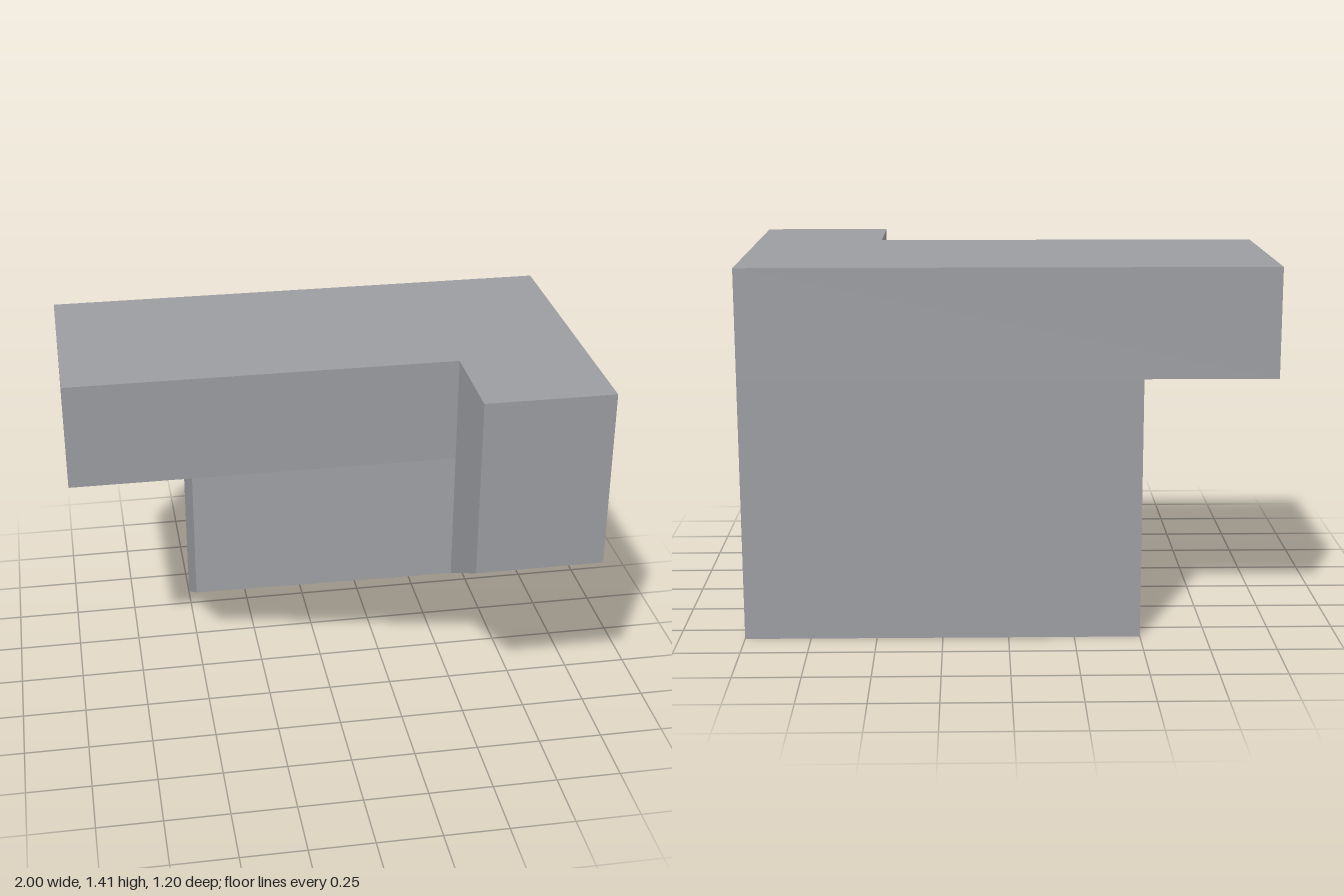
import * as THREE from 'three';

const TOP = 1.415, LEDGE = 1.0, BACK = -0.6, FRONT = 0.6, STEP = 0.215, CORNER = -0.175;
const SLOPE = 0.705 / (FRONT - BACK);

// Vertical prism over a footprint of [x, z] points, from y = bottom to y = top
function prism(name, footprint, bottom, top, material) {
  const shape = new THREE.Shape(footprint.map(([x, z]) => new THREE.Vector2(x, -z)));
  const geometry = new THREE.ExtrudeGeometry(shape, { depth: top - bottom, bevelEnabled: false });
  geometry.rotateX(-Math.PI / 2).translate(0, bottom, 0);
  const mesh = new THREE.Mesh(geometry, material);
  mesh.name = name;
  return mesh;
}

export function createModel() {
  const group = new THREE.Group();
  group.name = 'wedgeBlock';
  const grey = new THREE.MeshStandardMaterial({ color: 0x9b9da1 });
  grey.name = 'grey';

  // Upper L-shaped slab, overhanging on the -x end
  group.add(prism('upperSlab', [
    [-1, BACK], [1, BACK], [1, FRONT], [0.5, FRONT], [0.5, STEP], [-1, STEP],
  ], LEDGE, TOP, grey));

  // Lower body with a slanted front wall
  const body = prism('lowerBody', [
    [-0.5, BACK], [1, BACK], [1, FRONT], [0.5, FRONT], [0.5, STEP], [-0.5, CORNER],
  ], 0, LEDGE, grey);

  // Lift the underside into a ramp rising toward the front
  const p = body.geometry.attributes.position;
  for (let i = 0; i < p.count; i++) {
    if (p.getY(i) < 0.5) p.setY(i, (p.getZ(i) - BACK) * SLOPE);
  }
  body.geometry.computeVertexNormals();
  group.add(body);

  return group;
}
